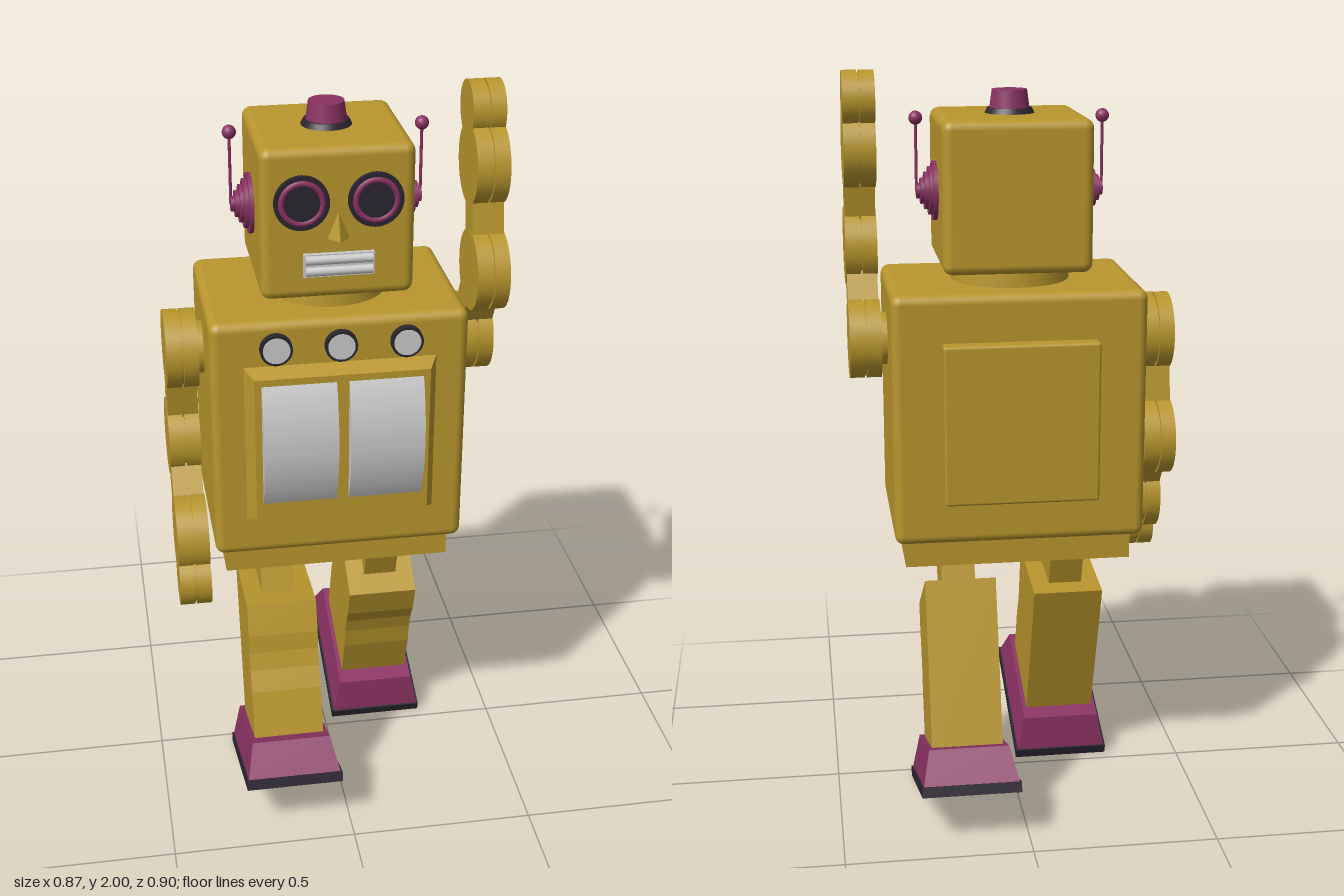
import * as THREE from 'three';
import { toCreasedNormals } from 'three/addons/utils/BufferGeometryUtils.js';
import { RoundedBoxGeometry } from 'three/addons/geometries/RoundedBoxGeometry.js';

const paint = (color) => new THREE.MeshStandardMaterial({ color });
const gold = paint(0xb8962d), plum = paint(0x8a3262), dark = paint(0x2b2530), grey = paint(0xcccccc);

function add(parent, name, geometry, material, x = 0, y = 0, z = 0) {
  const mesh = new THREE.Mesh(geometry, material);
  mesh.name = name;
  mesh.position.set(x, y, z);
  parent.add(mesh);
  return mesh;
}

const box = (w, h, d) => new THREE.BoxGeometry(w, h, d);
const rounded = (w, h, d, r) => new RoundedBoxGeometry(w, h, d, 3, r);
const discX = (r, w, r2 = r) => new THREE.CylinderGeometry(r2, r, w, 40).rotateZ(-Math.PI / 2);
const discZ = (r, w) => new THREE.CylinderGeometry(r, r, w, 40).rotateX(Math.PI / 2);

// Extrudes a (z, y) outline along x, centred on x = 0
function extrudeX(shape, width) {
  const g = new THREE.ExtrudeGeometry(shape, { depth: width, bevelEnabled: false, curveSegments: 20 });
  return toCreasedNormals(g.rotateY(-Math.PI / 2).translate(width / 2, 0, 0), 0.15);
}

// Four-sided block whose upper face is inset on every side
function taperedBlock(w, h, d, inset) {
  const g = box(w, h, d).translate(0, h / 2, 0);
  const p = g.attributes.position;
  for (let i = 0; i < p.count; i++) {
    if (p.getY(i) < h / 2) continue;
    p.setX(i, p.getX(i) - Math.sign(p.getX(i)) * inset[0]);
    p.setZ(i, p.getZ(i) - Math.sign(p.getZ(i)) * inset[1]);
  }
  g.computeVertexNormals();
  return g;
}

function buildHead() {
  const head = new THREE.Group();
  head.name = 'head';
  add(head, 'neck', new THREE.CylinderGeometry(0.155, 0.16, 0.07, 48), gold, 0, 1.475, 0);
  add(head, 'headShell', rounded(0.39, 0.395, 0.39, 0.025), gold, 0, 1.693, 0);
  add(head, 'capBase', new THREE.CylinderGeometry(0.058, 0.066, 0.015, 40), dark, 0, 1.897, 0);
  add(head, 'capKnob', new THREE.CylinderGeometry(0.046, 0.053, 0.05, 40), plum, 0, 1.926, 0);

  // Nose: a wedge that stands out at its foot
  const nose = new THREE.ConeGeometry(0.036, 0.075, 4, 1).scale(0.85, 1, 1);
  add(head, 'nose', nose.toNonIndexed(), gold, 0, 1.693, 0.192).geometry.computeVertexNormals();

  // Mouth with two bars
  add(head, 'mouth', box(0.18, 0.06, 0.014), grey, 0, 1.59, 0.2);
  for (const y of [1.575, 1.605])
    add(head, 'mouthBar', new THREE.CylinderGeometry(0.012, 0.012, 0.17, 16).rotateZ(Math.PI / 2), grey, 0, y, 0.206);

  for (const s of [-1, 1]) {
    const x = s * 0.093;
    add(head, 'eyeRim', discZ(0.07, 0.014), dark, x, 1.755, 0.2);
    add(head, 'eyeRing', new THREE.TorusGeometry(0.052, 0.008, 10, 40), plum, x, 1.755, 0.205);
    add(head, 'eyeLens', discZ(0.045, 0.01), dark, x, 1.755, 0.205);
    // Stepped ear with aerial
    for (let i = 0; i < 5; i++)
      add(head, 'earStep', discX(0.078 - i * 0.0145, 0.012), plum, s * (0.2 + i * 0.0105), 1.69, 0);
    add(head, 'aerialRod', new THREE.CylinderGeometry(0.004, 0.004, 0.19, 10), plum, s * 0.247, 1.785, 0);
    add(head, 'aerialBall', new THREE.SphereGeometry(0.018, 20, 14), plum, s * 0.247, 1.88, 0);
  }
  return head;
}

function buildTorso() {
  const torso = new THREE.Group();
  torso.name = 'torso';
  add(torso, 'bodyShell', rounded(0.67, 0.675, 0.47, 0.025), gold, 0, 1.118, 0);
  add(torso, 'waist', box(0.61, 0.09, 0.38), gold, 0, 0.75, 0);
  add(torso, 'backPanel', rounded(0.41, 0.43, 0.06, 0.008), gold, 0, 1.115, -0.245);

  // Chest frame with sloping sides
  const frame = taperedBlock(0.506, 0.045, 0.45, [0.025, 0.022]).rotateX(Math.PI / 2);
  add(torso, 'chestFrame', frame, gold, 0, 1.113, 0.23);

  // Two bulging doors, arc profile
  const R = 0.375, half = 0.18, a = Math.asin(half / R);
  const arc = new THREE.Shape();
  arc.absarc(0.316 - R, 0, R, -a, a, false);
  for (const s of [-1, 1])
    add(torso, 'chestDoor', extrudeX(arc, 0.194), grey, s * 0.113, 1.127, 0);

  // Row of dials
  for (const x of [-0.167, 0, 0.17]) {
    add(torso, 'dialRim', discZ(0.042, 0.02), dark, x, 1.385, 0.243);
    add(torso, 'dialFace', discZ(0.035, 0.02), grey, x, 1.385, 0.2455);
  }
  return torso;
}

// Arm: chain of discs through [z, y, radius] joints, joined by bars
function buildArm(side, name, joints) {
  const arm = new THREE.Group();
  arm.name = name;
  const x = side * 0.3935, layer = 0.04;
  add(arm, 'shoulderAxle', discX(0.07, 0.04), gold, side * 0.343, 1.295, 0);
  joints.forEach(([z, y, r], i) => {
    for (const s of [-1, 1])
      add(arm, 'jointDisc', discX(r, layer), gold, x + s * 0.0225, y, z);
    add(arm, 'jointCore', discX(r - 0.008, 0.02), gold, x, y, z);
    if (i === 0) return;
    const [z0, y0] = joints[i - 1];
    const bar = add(arm, 'armBar', box(0.082, Math.hypot(z - z0, y - y0), 0.08), gold, x, (y + y0) / 2, (z + z0) / 2);
    bar.rotation.x = Math.atan2(z - z0, y - y0);
  });
  return arm;
}

// Leg built upright on its sole, then swung about x
function buildLeg(side, name, swing) {
  const leg = new THREE.Group();
  leg.name = name;
  add(leg, 'sole', box(0.266, 0.028, 0.44), dark, 0, 0.014, 0);
  add(leg, 'shoe', taperedBlock(0.256, 0.092, 0.43, [0.02, 0.035]), plum, 0, 0.028, 0);
  const outline = new THREE.Shape([
    [-0.135, 0.1], [0.135, 0.1], [0.135, 0.25], [0.125, 0.31], [0.125, 0.36],
    [0.135, 0.41], [0.135, 0.5], [-0.135, 0.57],
  ].map(([z, y]) => new THREE.Vector2(z, y)));
  add(leg, 'shin', extrudeX(outline, 0.193), gold);
  add(leg, 'thigh', box(0.092, 0.25, 0.15), gold, 0, 0.58, 0);
  leg.position.set(side * 0.157, 0.075, -side * 0.242);
  leg.rotation.x = swing;
  return leg;
}

export function createModel() {
  const robot = new THREE.Group();
  robot.name = 'toyRobot';
  const stride = THREE.MathUtils.degToRad(20);
  robot.add(
    buildHead(),
    buildTorso(),
    buildArm(1, 'leftArm', [[0, 1.295, 0.105], [0.135, 1.525, 0.105], [0.085, 1.795, 0.105], [0.05, 1.927, 0.073]]),
    buildArm(-1, 'rightArm', [[0, 1.295, 0.105], [-0.05, 1.01, 0.105], [0.12, 0.795, 0.105], [0.175, 0.685, 0.073]]),
    buildLeg(1, 'leftLeg', stride),
    buildLeg(-1, 'rightLeg', -stride),
  );
  return robot;
}
